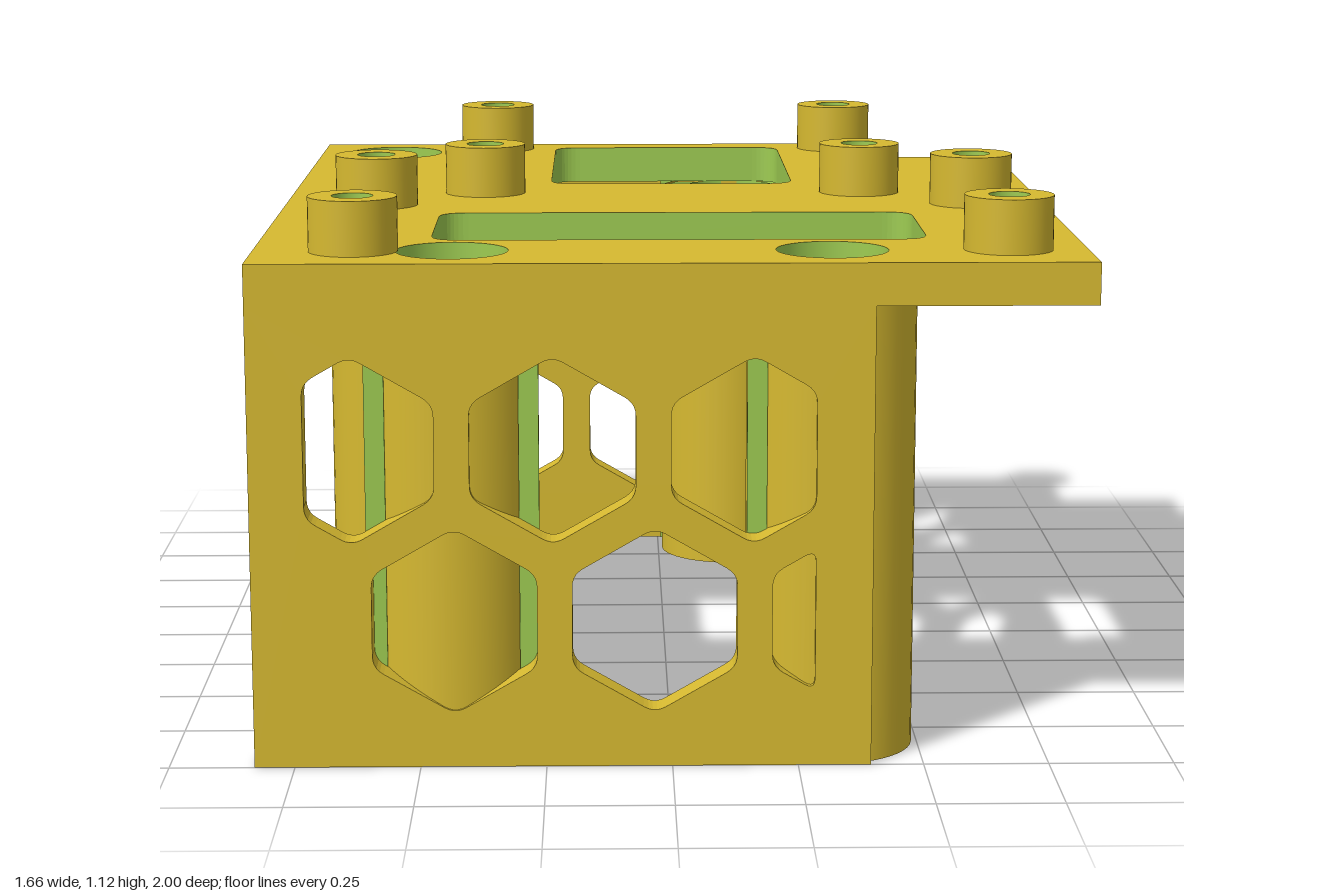
import * as THREE from 'three';

const TOP = 1.01, UNDER = 0.925, WALL = 0.065;

export function createModel() {
  const root = new THREE.Group();
  const yellow = new THREE.MeshStandardMaterial({ color: 0xd6b930, side: THREE.DoubleSide });
  yellow.name = 'yellow';
  const green = new THREE.MeshStandardMaterial({ color: 0x9dcb51, side: THREE.DoubleSide });
  green.name = 'green';

  const add = (parent, name, geo, mat, x = 0, y = 0, z = 0) => {
    const m = new THREE.Mesh(geo, mat);
    m.name = name;
    m.position.set(x, y, z);
    parent.add(m);
    return m;
  };
  const group = (name) => {
    const g = new THREE.Group();
    g.name = name;
    root.add(g);
    return g;
  };

  const V = (x, y) => new THREE.Vector2(x, y);
  // Polygon path with softened corners
  const rounded = (pts, r, PathType = THREE.Path) => {
    const p = new PathType();
    pts.forEach((c, i) => {
      const a = pts[(i + pts.length - 1) % pts.length], b = pts[(i + 1) % pts.length];
      const s = c.clone().lerp(a, Math.min(0.45, r / c.distanceTo(a)));
      const e = c.clone().lerp(b, Math.min(0.45, r / c.distanceTo(b)));
      if (i) p.lineTo(s.x, s.y); else p.moveTo(s.x, s.y);
      p.quadraticCurveTo(c.x, c.y, e.x, e.y);
    });
    p.closePath();
    return p;
  };
  const rect = (x0, y0, x1, y1) => [V(x0, y0), V(x1, y0), V(x1, y1), V(x0, y1)];
  const circle = (x, z, r) => new THREE.Path().absarc(x, z, r, 0, Math.PI * 2, true);

  // Vertical band following a plan outline
  const band = (pts, y0, y1) => {
    const pos = [];
    pts.forEach((a, i) => {
      const b = pts[(i + 1) % pts.length];
      if (a.distanceTo(b) < 1e-6) return;
      pos.push(a.x, y0, a.y, b.x, y0, b.y, b.x, y1, b.y, a.x, y0, a.y, b.x, y1, b.y, a.x, y1, a.y);
    });
    const g = new THREE.BufferGeometry();
    g.setAttribute('position', new THREE.Float32BufferAttribute(pos, 3));
    g.computeVertexNormals();
    return g;
  };
  const tube = (r, y0, y1) =>
    new THREE.CylinderGeometry(r, r, y1 - y0, 48, 1, true).translate(0, (y0 + y1) / 2, 0);
  const ring = (r0, r1, y) =>
    new THREE.RingGeometry(r0, r1, 48).rotateX(-Math.PI / 2).translate(0, y, 0);

  const columns = [[-0.65, -0.825], [0.18, -0.825], [-0.435, 0.825], [0.32, 0.825]];
  const standoffs = [[-0.4, -0.91], [0.44, -0.91], [-0.4, -0.06], [0.44, -0.06],
    [-0.63, 0.14], [0.67, 0.14], [-0.63, 0.825], [0.67, 0.825]];

  // Top plate with notch, two windows and screw holes
  const plate = group('topPlate');
  const outline = [V(-0.83, -1), V(0.53, -1), V(0.53, -0.71), V(0.83, -0.71), V(0.83, 1), V(-0.83, 1)];
  const plateShape = new THREE.Shape(outline);
  const windows = [rounded(rect(-0.255, -0.917, 0.298, -0.208), 0.06),
    rounded(rect(-0.485, 0.28, 0.525, 0.682), 0.06)];
  plateShape.holes.push(...windows);
  columns.forEach(([x, z], i) => { if (i !== 1) plateShape.holes.push(circle(x, z, 0.112)); });
  standoffs.forEach(([x, z]) => plateShape.holes.push(circle(x, z, 0.041)));
  const face = new THREE.ShapeGeometry(plateShape, 24).rotateX(Math.PI / 2);
  add(plate, 'plateTop', face, yellow, 0, TOP, 0);
  add(plate, 'plateUnderside', face, yellow, 0, UNDER, 0);
  add(plate, 'plateEdge', band(outline, UNDER, TOP), yellow);
  windows.forEach((w) => add(plate, 'windowEdge', band(w.getPoints(10), UNDER, TOP), green));

  // Standoffs on the plate
  standoffs.forEach(([x, z]) => {
    const g = group('standoff');
    g.position.set(x, 0, z);
    add(g, 'standoffSide', tube(0.089, TOP, 1.12), yellow);
    add(g, 'standoffTop', ring(0.041, 0.089, 1.12), yellow);
    add(g, 'standoffBore', tube(0.041, UNDER, 1.12), green);
  });

  // Hollow screw columns with counterbore
  const FLOOR = 0.5;
  columns.forEach(([x, z], i) => {
    const g = group('column');
    g.position.set(x, 0, z);
    add(g, 'columnSide', tube(0.17, 0, UNDER), yellow);
    add(g, 'columnFoot', ring(0.062, 0.17, 0), yellow);
    add(g, 'columnRim', ring(0.112, 0.17, UNDER - 0.004), green);
    add(g, 'counterbore', tube(0.112, FLOOR, i === 1 ? UNDER : TOP), green);
    add(g, 'counterboreFloor', ring(0.062, 0.112, FLOOR), green);
    add(g, 'bore', tube(0.062, 0, FLOOR), green);
    // Narrow clearance strips where the column meets the wall
    for (const s of [-1, 1]) {
      if (x + s * 0.17 > 0.3) continue;
      add(g, 'clearanceStrip', new THREE.BoxGeometry(0.04, UNDER, 0.006), green,
        s * 0.152, UNDER / 2, Math.sign(z) * (1 - WALL - 0.003) - z);
    }
  });

  // Hexagon opening trimmed to lo..hi
  const hex = (cx, cy, lo, hi) => {
    let pts = [];
    for (let k = 0; k < 6; k++) {
      const a = Math.PI / 6 + k * Math.PI / 3;
      pts.push(V(cx + 0.188 * Math.cos(a), cy + 0.188 * Math.sin(a)));
    }
    for (const [lim, s] of [[lo, 1], [hi, -1]]) {
      const out = [];
      pts.forEach((p, i) => {
        const q = pts[(i + 1) % pts.length];
        const dp = s * (p.x - lim), dq = s * (q.x - lim);
        if (dp >= 0) out.push(p);
        if (dp * dq < 0) out.push(p.clone().lerp(q, dp / (dp - dq)));
      });
      pts = out;
    }
    return rounded(pts, 0.025);
  };
  const wallGeometry = (x0, x1, lower, upper, lo, hi) => {
    const s = new THREE.Shape(rect(x0, 0, x1, UNDER));
    lower.forEach((c) => s.holes.push(hex(c, 0.297, lo, hi)));
    upper.forEach((c) => s.holes.push(hex(c, 0.64, lo, hi)));
    return new THREE.ExtrudeGeometry(s, { depth: WALL, bevelEnabled: false, curveSegments: 5 });
  };

  // Honeycomb walls: front, back (mirrored pattern) and one side
  const low = [-0.43, -0.035, 0.36], high = [-0.63, -0.235, 0.16];
  const mirror = (list) => list.map((c) => -0.44 - c);
  add(root, 'frontWall', wallGeometry(-0.83, 0.395, low, high, -0.722, 0.282), yellow, 0, 0, 1 - WALL);
  add(root, 'backWall', wallGeometry(-0.83, 0.395, mirror(low), mirror(high), -0.722, 0.282), yellow, 0, 0, -1);
  const side = wallGeometry(-0.935, 0.69, [0.605, 0.21, -0.187, -0.585],
    [0.8, 0.405, 0.01, -0.385, -0.78].slice(1), -0.895, 0.68);
  add(root, 'sideWall', side.rotateY(-Math.PI / 2), yellow, 0.395, 0, 0);

  return root;
}
